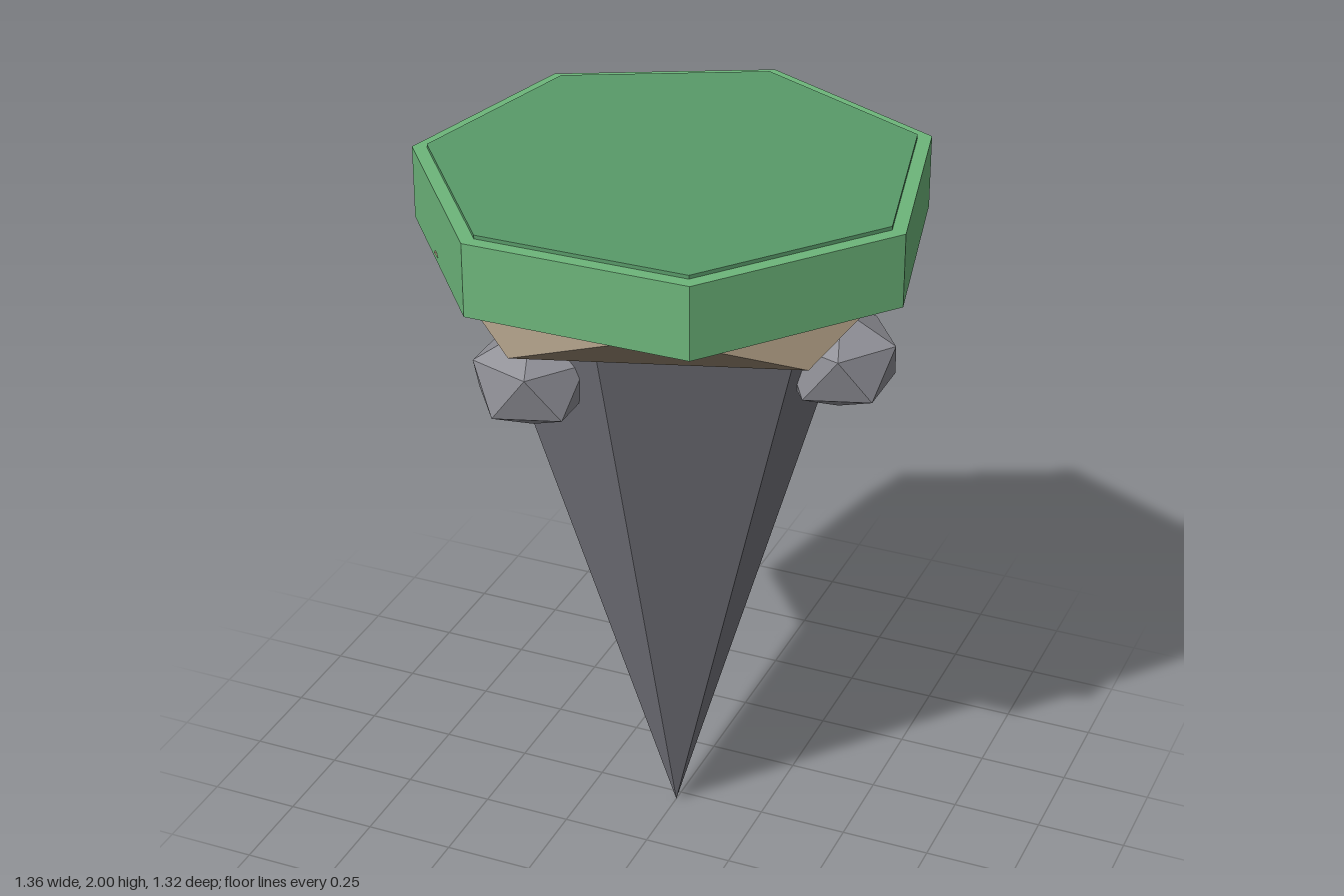
import * as THREE from 'three';

const CENTER_Z = 0.035;

function addPart(group, name, geometry, color, x, y, z) {
  const material = new THREE.MeshStandardMaterial({ color, flatShading: true });
  const mesh = new THREE.Mesh(geometry, material);
  mesh.name = name;
  mesh.position.set(x, y, z);
  group.add(mesh);
  return mesh;
}

// Straight-sided prism standing between two heights, first corner towards +z
function prism(rTop, rBottom, bottom, top, sides) {
  return new THREE.CylinderGeometry(rTop, rBottom, top - bottom, sides)
    .translate(0, (top + bottom) / 2, 0);
}

// Icosahedron balanced on a corner, upper ring pointing to +x, squashed in height
function boulder(radius, squash) {
  return new THREE.IcosahedronGeometry(radius, 0)
    .rotateX(-Math.atan((1 + Math.sqrt(5)) / 2))
    .rotateY(Math.PI / 2)
    .scale(1, squash, 1);
}

export function createModel() {
  const island = new THREE.Group();
  island.name = 'floatingIsland';

  // Seven-sided grass slab with a thin raised turf, corner to the back
  const slab = prism(0.695, 0.695, 1.79, 1.99, 7).rotateY(Math.PI);
  addPart(island, 'grassSlab', slab, 0x6db57a, 0, 0, CENTER_Z);
  const turf = prism(0.655, 0.655, 1.98, 2, 7).rotateY(Math.PI);
  addPart(island, 'turfTop', turf, 0x599a69, 0, 0, CENTER_Z);

  // Flattened layer of earth under the grass
  addPart(island, 'earthLayer', boulder(0.708, 0.205), 0x94846f, 0, 1.75, CENTER_Z);

  // Six-sided stone spike pointing down
  addPart(island, 'stoneSpike', prism(0.513, 0, 0, 1.7, 6), 0x75757d, 0, 0, CENTER_Z);

  // Three small boulders around the spike
  for (let i = 0; i < 3; i++) {
    const a = (i * 2 * Math.PI) / 3;
    addPart(island, 'smallBoulder' + (i + 1), boulder(0.17, 0.83), 0x8e8e95,
      0.46 * Math.cos(a), 1.53, CENTER_Z + 0.46 * Math.sin(a));
  }
  return island;
}
